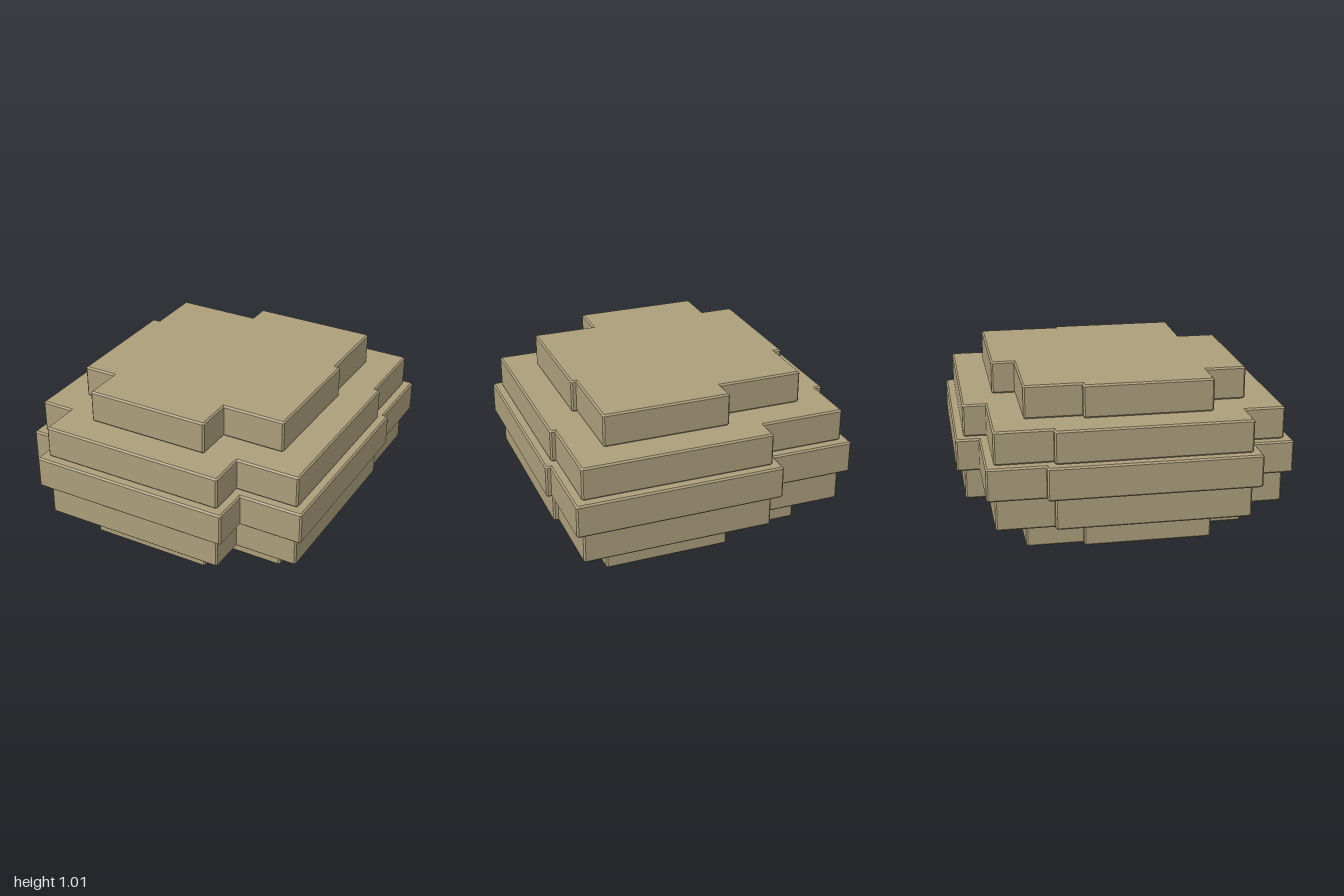
import * as THREE from 'three';

// Stepped footprint of the widest slab, clockwise seen from above, as [x, z]
const FOOTPRINT = [
  [-0.365, -1], [0.9, -1], [0.9, -0.5], [0.93, -0.5], [0.93, 0.765], [0.54, 0.765], [0.54, 1],
  [-0.725, 1], [-0.725, 0.755], [-0.93, 0.755], [-0.93, -0.515], [-0.885, -0.515],
  [-0.885, -0.86], [-0.365, -0.86],
];
const BEVEL = 0.01;
const SLAB_HEIGHT = 0.202;

// Footprint moved inward by a distance, with its outer corners cut
function slabShape(inset) {
  const pts = FOOTPRINT.map(([x, z]) => new THREE.Vector2(x, -z));
  const n = pts.length;
  const outline = [];
  pts.forEach((p, i) => {
    const before = p.clone().sub(pts[(i + n - 1) % n]).normalize();
    const after = pts[(i + 1) % n].clone().sub(p).normalize();
    const corner = new THREE.Vector2(
      p.x + inset * (before.y + after.y),
      p.y - inset * (before.x + after.x),
    );
    if (before.cross(after) < 0) {
      outline.push(corner.clone().addScaledVector(before, -BEVEL));
      outline.push(corner.clone().addScaledVector(after, BEVEL));
    } else {
      outline.push(corner);
    }
  });
  return new THREE.Shape(outline);
}

// Slab with small bevels on its top and bottom rims
function slabGeometry(inset) {
  const geometry = new THREE.ExtrudeGeometry(slabShape(inset), {
    depth: SLAB_HEIGHT - 2 * BEVEL,
    bevelEnabled: true,
    bevelThickness: BEVEL,
    bevelSize: BEVEL,
    bevelOffset: -BEVEL,
    bevelSegments: 1,
  });
  geometry.translate(0, 0, BEVEL);
  geometry.rotateX(-Math.PI / 2);
  return geometry;
}

export function createModel() {
  const stone = new THREE.MeshStandardMaterial({ color: 0xab9e7b });
  stone.name = 'sandstone';

  const group = new THREE.Group();
  group.name = 'steppedRock';

  // Five stacked slabs, widest in the middle
  const slabs = [
    ['bottomSlab', 0.245], ['lowerSlab', 0.05], ['middleSlab', 0],
    ['upperSlab', 0.05], ['topSlab', 0.245],
  ];
  slabs.forEach(([name, inset], i) => {
    const slab = new THREE.Mesh(slabGeometry(inset), stone);
    slab.name = name;
    slab.position.y = i * SLAB_HEIGHT;
    group.add(slab);
  });
  return group;
}
